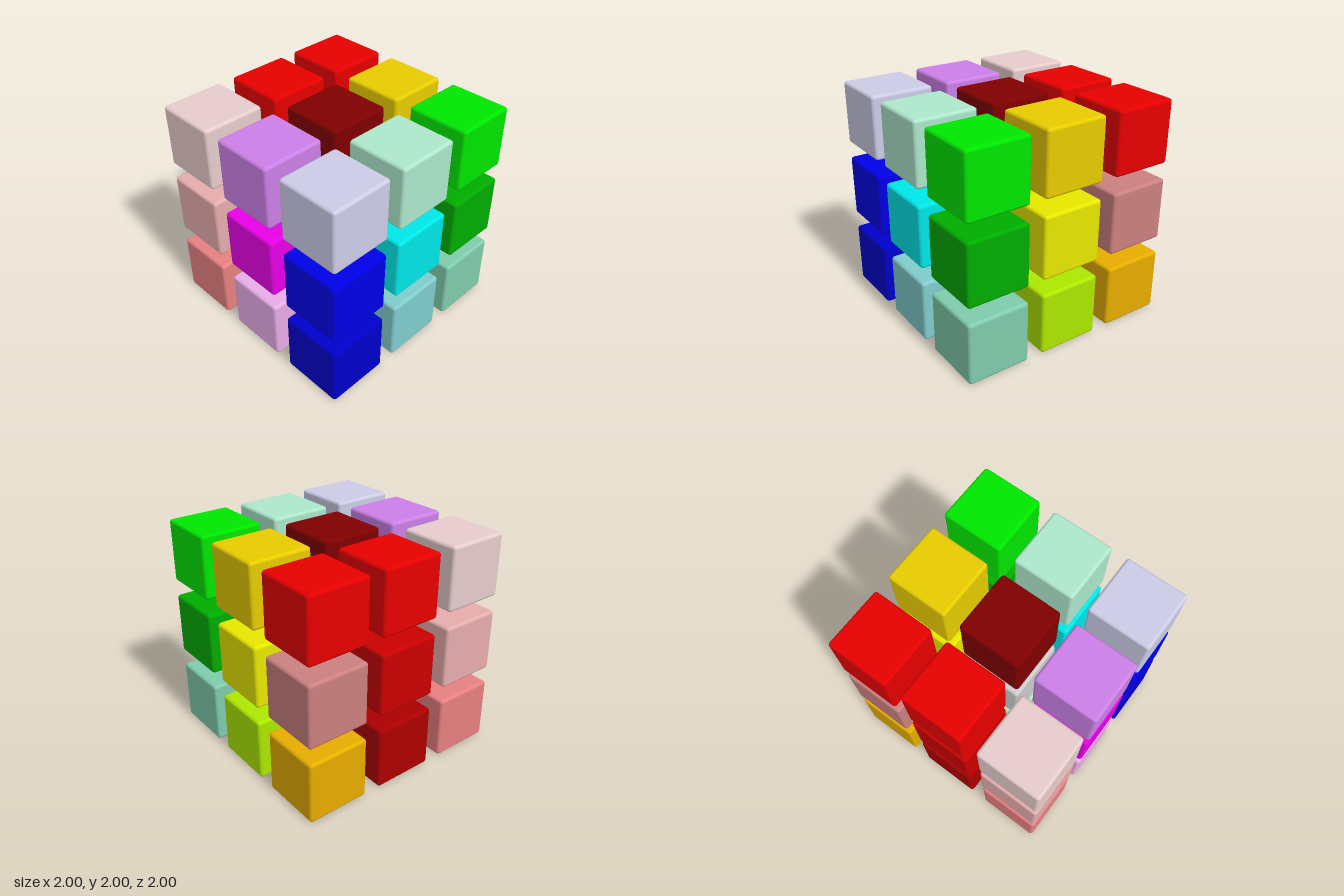
import * as THREE from 'three';
import { RoundedBoxGeometry } from 'three/addons/geometries/RoundedBoxGeometry.js';

const SIZE = 4 / 7;   // edge of one small cube
const PITCH = 5 / 7;  // distance between cube centres

// Colours by layer (bottom to top), row (back to front), column (-x to +x)
const COLORS = [
  [[0xe78080, 0xad0000, 0xe7ad00], [0xe7ade7, 0xade7ad, 0xade700], [0x0000cc, 0x80cccc, 0x80ccad]],
  [[0xe7adad, 0xcc0000, 0xcc8080], [0xe700e7, 0xcccccc, 0xe7e700], [0x0000e7, 0x00e7e7, 0x00ad00]],
  [[0xe7cccc, 0xe70000, 0xe70000], [0xcc80e7, 0x800000, 0xe7cc00], [0xcccce7, 0xade7cc, 0x00e700]],
];
const LAYERS = ['bottom', 'middle', 'top'];
const ROWS = ['Back', 'Center', 'Front'];
const COLUMNS = ['Right', 'Middle', 'Left'];

export function createModel() {
  const model = new THREE.Group();
  model.name = 'cubeGrid';
  const geometry = new RoundedBoxGeometry(SIZE, SIZE, SIZE, 4, 0.028);

  COLORS.forEach((rows, j) => {
    // One horizontal layer of nine separate cubes
    const layer = new THREE.Group();
    layer.name = `${LAYERS[j]}Layer`;
    layer.position.y = SIZE / 2 + j * PITCH;
    rows.forEach((row, k) => row.forEach((color, i) => {
      const cube = new THREE.Mesh(geometry, new THREE.MeshStandardMaterial({ color }));
      cube.name = `${LAYERS[j]}${ROWS[k]}${COLUMNS[i]}Cube`;
      cube.position.set((i - 1) * PITCH, 0, (k - 1) * PITCH);
      layer.add(cube);
    }));
    model.add(layer);
  });
  return model;
}
